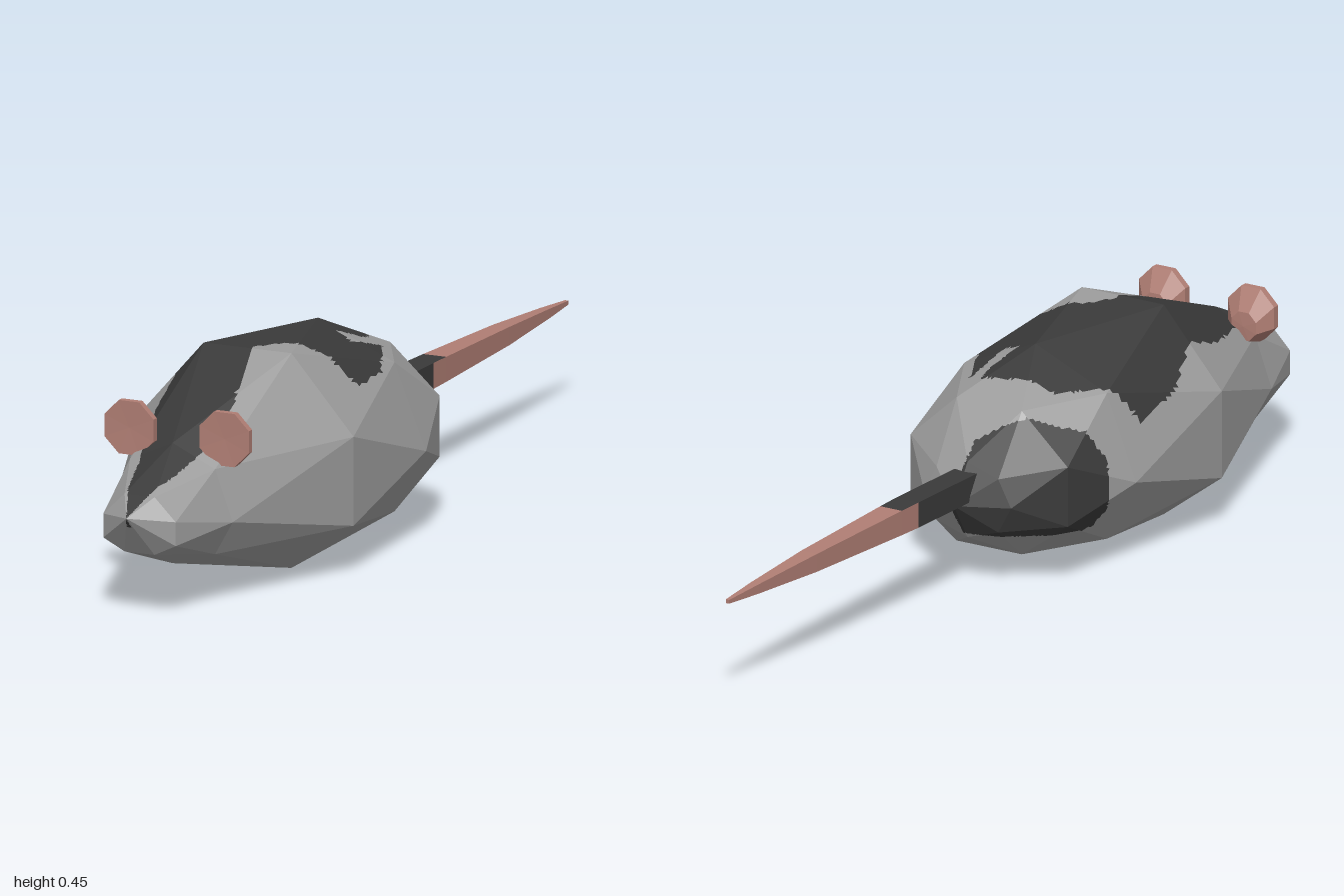
import * as THREE from 'three';

const flat = (name, color) => {
  const m = new THREE.MeshStandardMaterial({ color, flatShading: true });
  m.name = name;
  return m;
};

// Closed cross-section: angle runs from the top towards +x; `off` turns it by part of a step
function ring(n, z, cx, cy, rx, up, down, off = 0) {
  const points = [];
  for (let j = 0; j < n; j++) {
    const a = ((j + off) / n) * Math.PI * 2;
    const c = Math.cos(a);
    points.push(new THREE.Vector3(cx + Math.sin(a) * rx, cy + c * (c > 0 ? up : down), z));
  }
  return { points, off };
}

// Triangles joining rings from front to back, closed by a point at each end
function loft(front, rings, back) {
  const tris = [];
  const n = rings[0].points.length;
  for (let j = 0; j < n; j++) {
    const k = (j + 1) % n;
    const first = rings[0].points, last = rings[rings.length - 1].points;
    tris.push([front, first[k], first[j]], [last[j], last[k], back]);
    for (let i = 0; i < rings.length - 1; i++) {
      const A = rings[i].points, B = rings[i + 1].points;
      if (rings[i].off > rings[i + 1].off) tris.push([A[j], B[k], B[j]], [A[j], A[k], B[k]]);
      else tris.push([A[j], A[k], B[j]], [A[k], B[k], B[j]]);
    }
  }
  return tris;
}

// Splits each triangle n times per edge and sorts the pieces into two material groups
function painted(tris, isDark, n) {
  const sets = [[], []];
  const add = (p, q, r) => {
    const mid = p.clone().add(q).add(r).divideScalar(3);
    const set = sets[isDark(mid) ? 1 : 0];
    for (const v of [p, q, r]) set.push(v.x, v.y, v.z);
  };
  for (const [a, b, c] of tris) {
    const at = (i, j) => a.clone().addScaledVector(b.clone().sub(a), i / n).addScaledVector(c.clone().sub(a), j / n);
    for (let i = 0; i < n; i++) {
      for (let j = 0; j < n - i; j++) {
        add(at(i, j), at(i + 1, j), at(i, j + 1));
        if (i + j < n - 1) add(at(i + 1, j), at(i + 1, j + 1), at(i, j + 1));
      }
    }
  }
  const geo = new THREE.BufferGeometry();
  geo.setAttribute('position', new THREE.Float32BufferAttribute(sets[0].concat(sets[1]), 3));
  geo.addGroup(0, sets[0].length / 3, 0);
  geo.addGroup(sets[0].length / 3, sets[1].length / 3, 1);
  geo.computeVertexNormals();
  return geo;
}

// Is (x, z) inside the outline?
function inside(poly, x, z) {
  let hit = false;
  poly.forEach(([x1, z1], i) => {
    const [x2, z2] = poly[(i + 1) % poly.length];
    if (z1 > z !== z2 > z && x < x1 + ((z - z1) / (z2 - z1)) * (x2 - x1)) hit = !hit;
  });
  return hit;
}

// Fur markings seen from above, as [x, z]
const backPatch = [
  [0, 1.0], [-0.035, 0.92], [-0.06, 0.82], [-0.1, 0.7], [-0.14, 0.58], [-0.16, 0.45], [-0.21, 0.32],
  [-0.21, 0.2], [-0.15, 0.12], [-0.1, 0.05], [0.06, 0.02], [0.07, 0.06], [0.05, 0.14], [0.09, 0.16],
  [0.1, 0.04], [0.14, 0.12], [0.175, 0.2], [0.18, 0.31], [0.11, 0.34], [0.04, 0.38], [0.005, 0.43],
  [0.03, 0.52], [0.06, 0.64], [0.06, 0.75], [0.04, 0.87],
];
const rumpPatch = [
  [-0.21, 0.07], [-0.14, 0], [-0.08, -0.05], [0, -0.09], [0.02, -0.2], [-0.3, -0.2], [-0.3, 0],
];

export function createModel() {
  const grey = flat('greyFur', 0x9c9c9c);
  const dark = flat('darkFur', 0x3a3a3a);
  const pink = flat('pinkSkin', 0xb07e74);
  const group = new THREE.Group();
  const part = (name, geo, mats) => {
    const mesh = new THREE.Mesh(geo, mats);
    mesh.name = name;
    group.add(mesh);
  };

  // Body: staggered octagons [z, half width, bottom, middle, top]
  const sections = [
    [0.94, 0.088, 0.135, 0.175, 0.255],
    [0.79, 0.135, 0.08, 0.18, 0.33],
    [0.45, 0.258, 0.004, 0.18, 0.45],
    [0.13, 0.243, 0.002, 0.19, 0.44],
    [-0.04, 0.205, 0.055, 0.19, 0.36],
    [-0.12, 0.105, 0.1, 0.18, 0.26],
  ];
  const bodyRings = sections.map(([z, w, bottom, mid, top], i) => {
    const off = i % 2 ? 0 : 0.5;
    const grow = off ? 1 / Math.cos(Math.PI / 8) : 1;
    return ring(8, z, 0, mid, w, (top - mid) * grow, (mid - bottom) * grow, off);
  });
  const body = loft(new THREE.Vector3(0, 0.22, 1), bodyRings, new THREE.Vector3(0, 0.18, -0.17));
  const furIsDark = (p) =>
    (p.y > 0.2 && inside(backPatch, p.x, p.z)) || (p.y > 0.11 && inside(rumpPatch, p.x, p.z));
  part('body', painted(body, furIsDark, 20), [grey, dark]);

  // Tail: tapering square bar, dark near the body
  const tailY = 0.215;
  const tailRings = [[-0.12, 0.027], [-0.34, 0.027], [-0.4, 0.026], [-0.7, 0.019], [-0.9, 0.01], [-1, 0.004]].map(
    ([z, h]) => ring(4, z, 0, tailY, h * Math.SQRT2, h * Math.SQRT2, h * Math.SQRT2, 0.5));
  const tail = loft(new THREE.Vector3(0, tailY, -0.12), tailRings, new THREE.Vector3(0, tailY, -1));
  const tailIsDark = (p) => p.z > (Math.abs(p.y - tailY) > Math.abs(p.x) ? -0.4 : -0.34);
  part('tail', painted(tail, tailIsDark, 1), [pink, dark]);

  // Ears: flat front, domed back
  for (const [name, side] of [['leftEar', 1], ['rightEar', -1]]) {
    const x = 0.107 * side;
    const rings = [[0.772, 0.345, 0.06], [0.757, 0.345, 0.06], [0.73, 0.325, 0.032]].map(
      ([z, y, r]) => ring(8, z, x, y, r, r, r, 0.5));
    const ear = loft(new THREE.Vector3(x, 0.345, 0.77), rings, new THREE.Vector3(x, 0.325, 0.728));
    part(name, painted(ear, () => false, 1), [pink, dark]);
  }
  return group;
}
